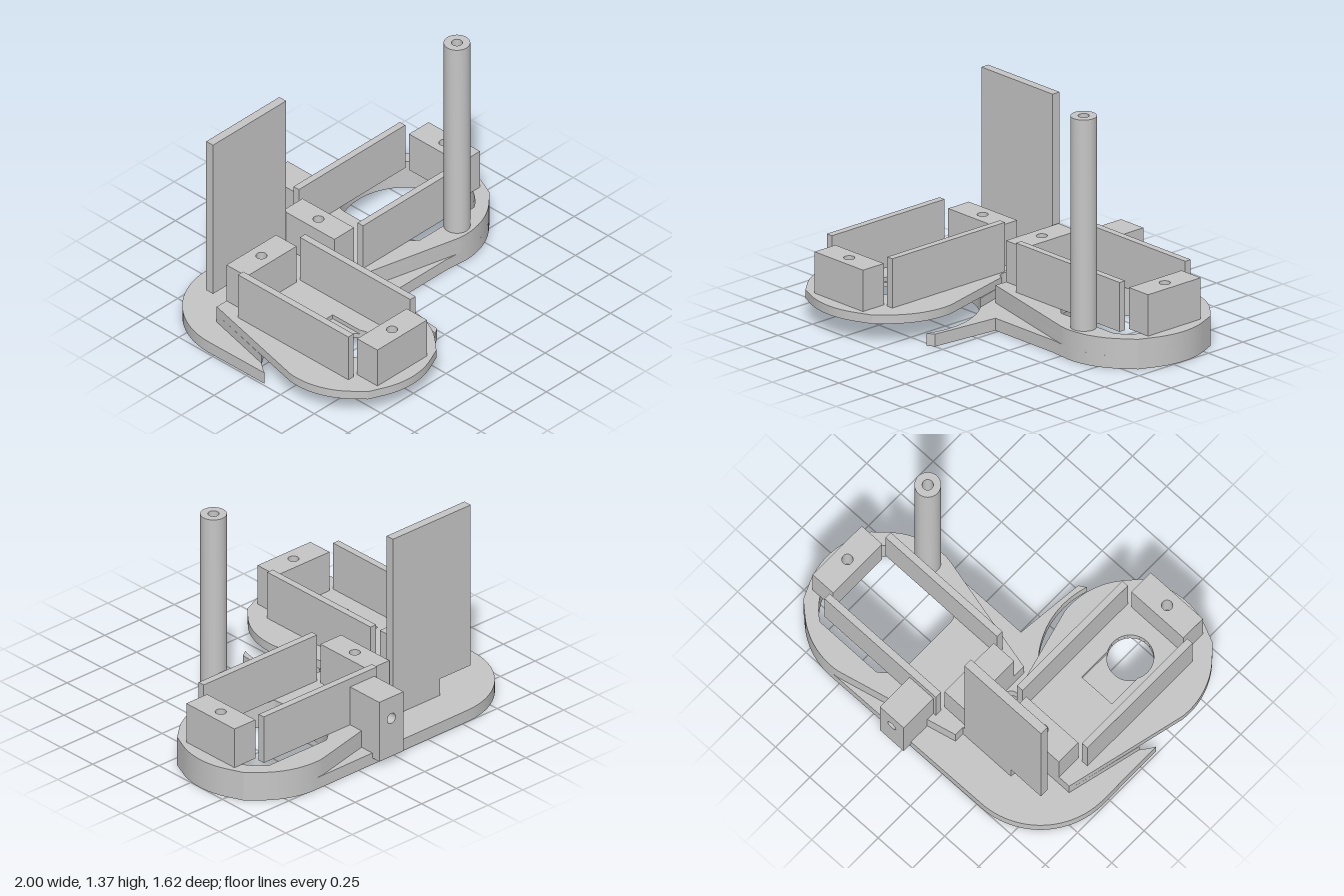
import * as THREE from 'three';
import { toCreasedNormals } from 'three/addons/utils/BufferGeometryUtils.js';

const grey = new THREE.MeshStandardMaterial({ color: 0xc6c6c6 });
grey.name = 'grey plastic';

const DISC = 0.435, CUT = 0.49, RECESS = 0.36;

// points on an arc, angles in degrees, in the floor plane (x, z)
function arc(cx, cz, r, from, to, n = 32) {
  const pts = [];
  for (let i = 0; i <= n; i++) {
    const a = THREE.MathUtils.degToRad(from + (to - from) * i / n);
    pts.push([cx + r * Math.cos(a), cz + r * Math.sin(a)]);
  }
  return pts;
}
const circle = (x, z, r, n = 40) => arc(x, z, r, 0, 360, n).slice(0, -1);
const rect = (x0, x1, z0, z1) => [[x0, z0], [x1, z0], [x1, z1], [x0, z1]];

// flat slab from a floor outline with holes, between two heights
function slab(name, outline, holes, y0, y1) {
  const vec = pts => pts.map(([x, z]) => new THREE.Vector2(x, -z));
  const points = vec(outline);
  if (THREE.ShapeUtils.isClockWise(points)) points.reverse();
  const shape = new THREE.Shape(points);
  // holes wind against the outline so that their walls face inward
  for (const hole of holes) {
    const path = vec(hole);
    if (!THREE.ShapeUtils.isClockWise(path)) path.reverse();
    shape.holes.push(new THREE.Path(path));
  }
  const geo = new THREE.ExtrudeGeometry(shape, { depth: y1 - y0, bevelEnabled: false });
  geo.rotateX(-Math.PI / 2);
  geo.translate(0, y0, 0);
  const mesh = new THREE.Mesh(toCreasedNormals(geo, 0.4), grey);
  mesh.name = name;
  return mesh;
}

function box(name, x0, x1, y0, y1, z0, z1) {
  const mesh = new THREE.Mesh(new THREE.BoxGeometry(x1 - x0, y1 - y0, z1 - z0), grey);
  mesh.position.set((x0 + x1) / 2, (y0 + y1) / 2, (z0 + z1) / 2);
  mesh.name = name;
  return mesh;
}

// disc with two slight corners and a tapered tail toward -z; the right edge may be notched
const tailed = (notch = []) => [
  ...arc(0, 0, DISC, -7, 41, 16), [0.262, 0.36],
  ...arc(0, 0, DISC, 67, 113, 16), [-0.262, 0.36],
  ...arc(0, 0, DISC, 139, 187, 16), [-0.265, -0.755], [0.265, -0.755], ...notch];

// end blocks with blind screw holes and the two side rails
function addHolder(group) {
  for (const [z0, z1] of [[-0.755, -0.605], [0.21, 0.36]]) {
    const zc = (z0 + z1) / 2;
    group.add(slab('endBlock', rect(-0.19, 0.19, z0, z1), [circle(0, zc, 0.03, 24)], 0.17, 0.405));
    group.add(slab('screwHoleFloor', circle(0, zc, 0.03, 24), [], 0.17, 0.25));
  }
  for (const s of [-1, 1]) {
    group.add(box('sideRail', s * 0.237 - 0.02, s * 0.237 + 0.02, 0.17, 0.45, -0.605, 0.21));
  }
}

export function createModel() {
  const model = new THREE.Group();
  model.name = 'twoHolderChassis';

  // base plate with curved fin, recess, through holes and blind holes
  const cx = 0.565, cz = -0.323;
  const base = [
    ...arc(-0.53, -0.29, 0.46, 180, 270, 24),
    ...arc(cx, cz, DISC, -90, -49, 16), [cx + 0.36, cz - 0.262],
    ...arc(cx, cz, DISC, -23, 23, 16), [cx + 0.36, cz + 0.262],
    ...arc(cx, cz, DISC, 49, 90, 16),
    [0.43, 0.1], [-0.02, 0.1], [-0.06, 0.5], [-0.1, 0.525],
    ...arc(-0.565, 0.37, CUT, 17, -149.5, 48),
  ];
  model.add(slab('basePlate', base, [
    circle(cx, cz, RECESS, 64),
    circle(-0.245, -0.45, 0.05, 24), circle(-0.245, -0.215, 0.05, 24),
    circle(-0.455, -0.257, 0.03, 20), circle(-0.665, -0.257, 0.03, 20),
  ], 0, 0.07));

  // front holder: raised disc overhanging the curved cut, with a shallow slot by its hole
  const front = new THREE.Group();
  front.name = 'frontHolder';
  front.position.set(-0.565, 0, 0.37);
  const notch = arc(0.32, -0.585, 0.054, -117, -257, 10);
  const slot = [[0.11, -0.26], ...arc(0, 0, 0.125, -28, 208, 32), [-0.11, -0.26]];
  front.add(slab('discLower', tailed(notch), [circle(0, 0, 0.125)], 0.12, 0.145));
  front.add(slab('discUpper', tailed(notch), [slot], 0.145, 0.17));
  front.add(slab('tailSupport', [
    ...arc(0, 0, CUT, -139, -41, 24), ...[...notch].reverse(),
    [0.265, -0.755], [-0.265, -0.755]], [], 0.07, 0.12));
  addHolder(front);
  model.add(front);

  // side holder: same layout turned a quarter, with a clipped round window
  const side = new THREE.Group();
  side.name = 'sideHolder';
  side.position.set(cx, 0, cz);
  side.rotation.y = Math.PI / 2;
  const window = circle(0, 0, RECESS, 72).map(([x, z]) =>
    [THREE.MathUtils.clamp(x, -0.295, 0.295), Math.max(z, -0.3)]);
  side.add(slab('ringWall', tailed(), [circle(0, 0, RECESS, 64)], 0.07, 0.12));
  side.add(slab('windowPlate', tailed(), [window], 0.12, 0.17));
  addHolder(side);
  model.add(side);

  // bridge joining both holders under the panel
  model.add(slab('bridge', [
    [-0.565, -0.385], [-0.54, -0.53], [-0.19, -0.53], [-0.19, -0.27], [-0.275, -0.27], [-0.3, -0.385],
  ], [circle(-0.245, -0.45, 0.05, 24)], 0.07, 0.17));

  // hollow mast
  model.add(slab('mast', circle(0.588, 0.022, 0.071, 48),
    [circle(0.588, 0.022, 0.03, 24)], 0.17, 1.37));

  // upright panel
  model.add(box('uprightPanel', -0.76, -0.2, 0.17, 1.145, -0.53, -0.48));

  // rear bracket, bored from the back
  const bracket = slab('rearBracket', rect(-0.0875, 0.0875, -0.18, 0.18),
    [circle(0, -0.05, 0.03, 24)], 0, 0.23);
  bracket.rotation.x = Math.PI / 2;
  bracket.position.set(0.066, 0.22, -0.81);
  model.add(bracket);

  return model;
}
